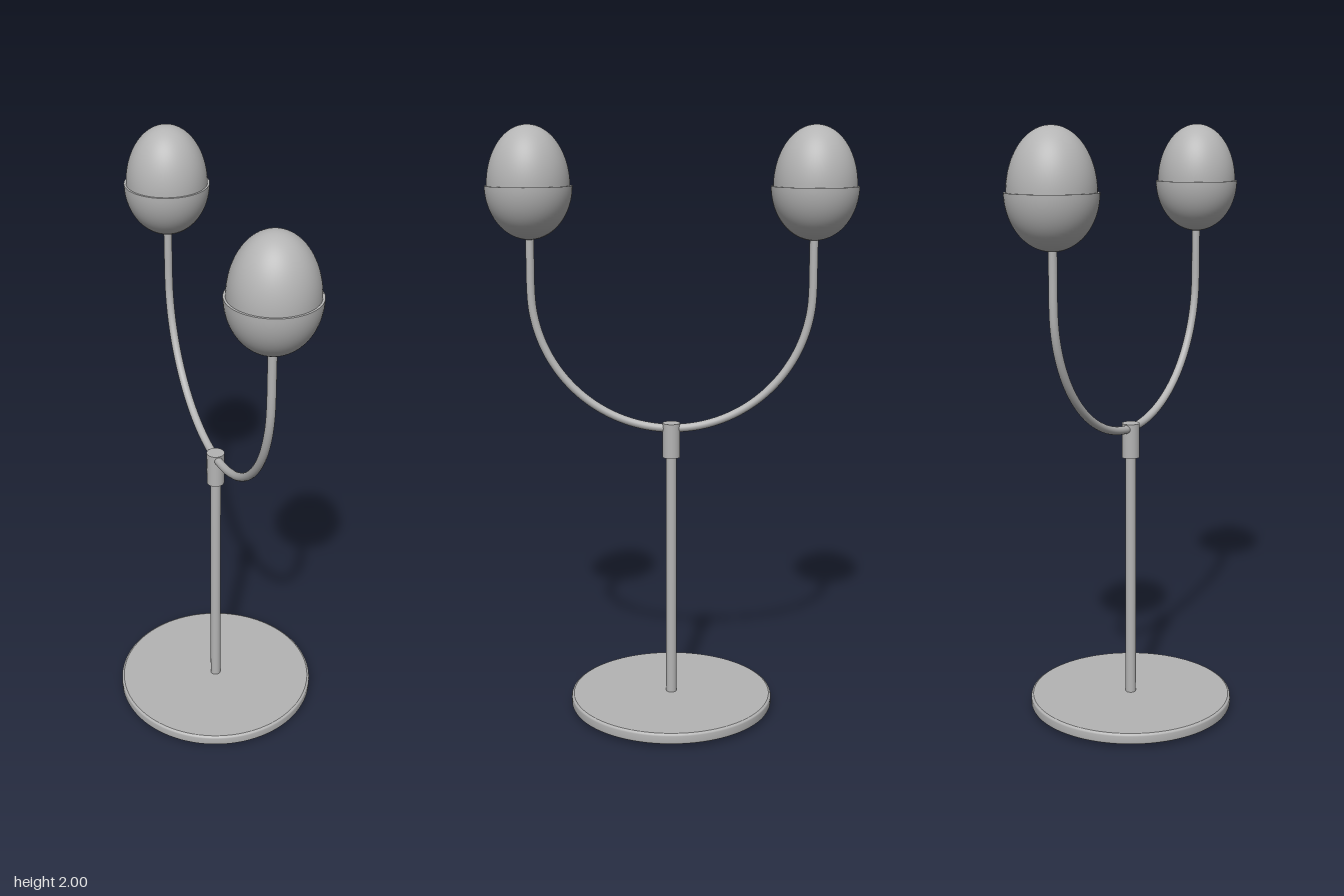
import * as THREE from 'three';

export function createModel() {
  const group = new THREE.Group();
  const grey = new THREE.MeshStandardMaterial({ color: 0xb4b4b4 });
  grey.name = 'satin grey';

  const add = (name, geometry, parent = group) => {
    const mesh = new THREE.Mesh(geometry, grey);
    mesh.name = name;
    parent.add(mesh);
    return mesh;
  };
  // Capped cylinder standing between two heights
  const post = (name, radius, y0, y1, sides = 32) => {
    const mesh = add(name, new THREE.CylinderGeometry(radius, radius, y1 - y0, sides));
    mesh.position.y = (y0 + y1) / 2;
  };

  // Round foot with a softened rim, made of lathed strips that keep the faces flat
  const top = 0.05, bottom = 0.012, r = 0.35, bevel = 0.008;
  const strips = [
    [[0, bottom], [r - bevel, bottom]],
    [[r - bevel, bottom], [r - 0.002, bottom + 0.003], [r, bottom + bevel],
      [r, top - bevel], [r - 0.002, top - 0.003], [r - bevel, top]],
    [[r - bevel, top], [0, top]],
  ];
  const base = new THREE.Group();
  base.name = 'base';
  group.add(base);
  ['baseUnderside', 'baseRim', 'baseTop'].forEach((name, i) =>
    add(name, new THREE.LatheGeometry(strips[i].map(p => new THREE.Vector2(...p)), 96), base));

  // Stem, its foot screw and the collar that holds the arms
  post('footScrew', 0.03, 0, 0.02);
  post('stem', 0.018, 0.03, 0.95);
  post('collar', 0.03, 0.9, 1.018);

  // U-shaped arm: straight ends joined by a half circle
  const reach = 0.465, bend = 1.465;
  const points = [new THREE.Vector3(0, 1.65, -reach), new THREE.Vector3(0, 1.56, -reach)];
  for (let i = 0; i <= 24; i++) {
    const a = Math.PI * i / 24;
    points.push(new THREE.Vector3(0, bend - reach * Math.sin(a), -reach * Math.cos(a)));
  }
  points.push(new THREE.Vector3(0, 1.56, reach), new THREE.Vector3(0, 1.65, reach));
  add('arm', new THREE.TubeGeometry(new THREE.CatmullRomCurve3(points), 120, 0.014, 16));

  // Egg-shaped lamps: a wider cup below, a flat lip, and a dome above
  const ellipse = (radius, height, from, to) => Array.from({ length: 25 }, (_, i) => {
    const a = from + (to - from) * i / 24;
    return new THREE.Vector2(Math.max(0, radius * Math.cos(a)), height * Math.sin(a));
  });
  const cup = new THREE.LatheGeometry(ellipse(0.143, 0.175, -Math.PI / 2, 0), 64);
  const lip = new THREE.LatheGeometry([new THREE.Vector2(0.143, 0), new THREE.Vector2(0.13, 0)], 64);
  const dome = new THREE.LatheGeometry(ellipse(0.136, 0.195, 0, Math.PI / 2), 64);
  for (const [name, side] of [['frontLamp', 1], ['backLamp', -1]]) {
    const lamp = new THREE.Group();
    lamp.name = name;
    lamp.position.set(0, 1.805, side * reach);
    add('cup', cup, lamp);
    add('lip', lip, lamp);
    add('dome', dome, lamp);
    group.add(lamp);
  }
  return group;
}
